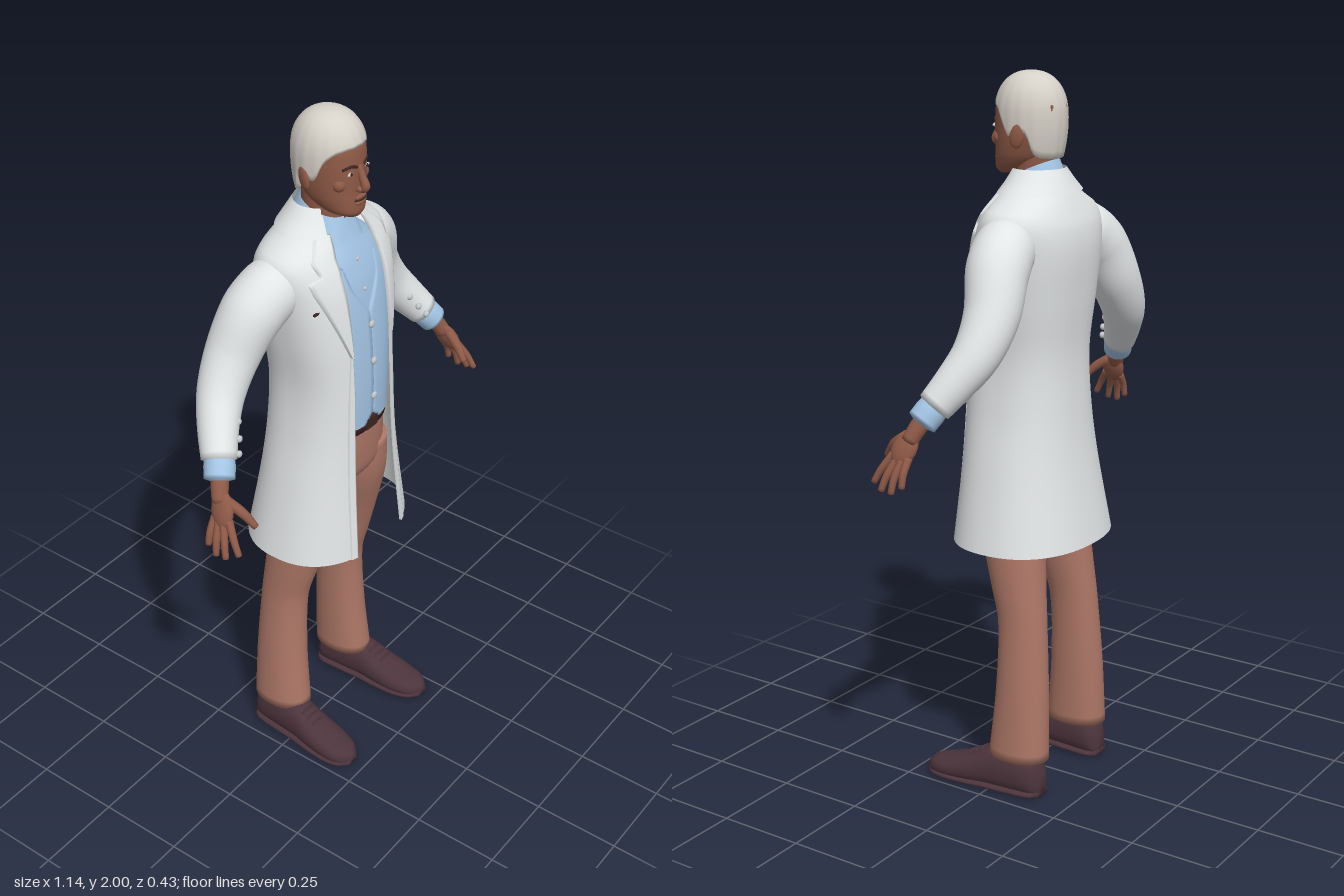
import * as THREE from 'three';

const mat = (name, color) => new THREE.MeshStandardMaterial({ name, color, side: THREE.DoubleSide });
const M = {
  coat: mat('coatWhite', 0xe2e5e6), skin: mat('skin', 0x8f5a47), shirt: mat('shirtBlue', 0xa3c4e4),
  trousers: mat('trouserBrown', 0xad7767), shoe: mat('shoeLeather', 0x4c343c), hair: mat('hairSilver', 0xd6d1c8),
  belt: mat('beltLeather', 0x4a2526), button: mat('buttonGrey', 0xc4c8ca), eye: mat('eyeWhite', 0xd8d2cc),
  dark: mat('darkDetail', 0x3c2622),
};
const V = (x, y, z) => new THREE.Vector3(x, y, z);
let root;

function add(name, geo, material) {
  const m = new THREE.Mesh(geo, material);
  m.name = name;
  root.add(m);
  return m;
}

// Surface through rows of points; closed joins each row into a ring
function grid(rows, closed) {
  const n = rows[0].length, idx = [];
  for (let i = 0; i < rows.length - 1; i++) {
    for (let j = 0; j < (closed ? n : n - 1); j++) {
      const k = (j + 1) % n, a = i * n + j, b = i * n + k, c = a + n, d = b + n;
      idx.push(a, b, c, b, d, c);
    }
  }
  const g = new THREE.BufferGeometry();
  g.setAttribute('position', new THREE.Float32BufferAttribute(rows.flat().flatMap(p => [p.x, p.y, p.z]), 3));
  g.setIndex(idx);
  g.computeVertexNormals();
  return g;
}

// Smoothly interpolate a section table by its first column
function at(secs, y) {
  let i = 0;
  while (i < secs.length - 2 && y > secs[i + 1][0]) i++;
  const a = secs[i], b = secs[i + 1], p = secs[i - 1] || a, q = secs[i + 2] || b;
  const h = b[0] - a[0], t = Math.min(1, Math.max(0, (y - a[0]) / h)), t2 = t * t, t3 = t2 * t;
  return a.map((v, k) => {
    if (k === 0) return y;
    const m0 = (b[k] - p[k]) / (b[0] - p[0]) * h, m1 = (q[k] - v) / (q[0] - a[0]) * h;
    return (2 * t3 - 3 * t2 + 1) * v + (t3 - 2 * t2 + t) * m0 + (3 * t2 - 2 * t3) * b[k] + (t3 - t2) * m1;
  });
}
const pw = (v, e) => Math.sign(v) * Math.pow(Math.abs(v), 2 / e);

// Section: [y, cx, cz, rx, rz, exponent, half width of front opening]
function ring([y, cx, cz, rx, rz, e, w = 0], n) {
  const a0 = w ? Math.asin(Math.min(1, Math.pow(w / rx, e / 2))) : 0, pts = [];
  for (let j = 0; j < n; j++) {
    const a = a0 + (2 * Math.PI - 2 * a0) * j / (w ? n - 1 : n);
    pts.push(V(cx + rx * pw(Math.sin(a), e), y, cz + rz * pw(Math.cos(a), e)));
  }
  return pts;
}
function loft(secs, n = 40, steps = 40, capped = false) {
  const rows = [], y0 = secs[0][0], y1 = secs[secs.length - 1][0], open = secs[0][6] > 0;
  for (let i = 0; i <= steps; i++) rows.push(ring(at(secs, y0 + (y1 - y0) * i / steps), n));
  if (capped) {
    const flat = s => Array.from({ length: n }, () => V(s[1], s[0], s[2]));
    rows.unshift(flat(secs[0]));
    rows.push(flat(secs[secs.length - 1]));
  }
  return grid(rows, !open);
}
function frontZ(secs, x, y) {
  const [, cx, cz, rx, rz, e] = at(secs, y);
  return cz + rz * Math.pow(Math.max(0, 1 - Math.pow(Math.abs((x - cx) / rx), e)), 1 / e);
}
// Thin layer over the front of a loft; rows are [y, inner x, outer x]
function patch(secs, rows, off, s) {
  const out = [], y0 = rows[0][0], y1 = rows[rows.length - 1][0];
  for (let i = 0; i <= 30; i++) {
    const y = y0 + (y1 - y0) * i / 30;
    let k = 0;
    while (k < rows.length - 2 && y > rows[k + 1][0]) k++;
    const t = (y - rows[k][0]) / (rows[k + 1][0] - rows[k][0]);
    const [a, b] = [1, 2].map(c => rows[k][c] + (rows[k + 1][c] - rows[k][c]) * t);
    const line = [V(s * a, y, frontZ(secs, a, y) - 0.004)];
    for (let j = 0; j <= 8; j++) { const x = a + (b - a) * j / 8; line.push(V(s * x, y, frontZ(secs, x, y) + off)); }
    line.push(V(s * b, y, frontZ(secs, b, y) - 0.004));
    out.push(line);
  }
  return grid(out, false);
}
// Rounded limb along a smooth path; stations are [x, y, z, radius]
function limb(st, s = 1, n = 16, steps = 24) {
  const curve = new THREE.CatmullRomCurve3(st.map(p => V(s * p[0], p[1], p[2])));
  const fr = curve.computeFrenetFrames(steps), rows = [];
  for (let i = 0; i <= steps; i++) {
    const t = i / steps, u = curve.getUtoTmapping(t) * (st.length - 1), k = Math.min(st.length - 2, Math.floor(u));
    const r = st[k][3] + (st[k + 1][3] - st[k][3]) * (u - k), c = curve.getPointAt(t);
    rows.push(Array.from({ length: n }, (_, j) => {
      const a = 2 * Math.PI * j / n;
      return c.clone().addScaledVector(fr.normals[i], r * Math.cos(a)).addScaledVector(fr.binormals[i], r * Math.sin(a));
    }));
  }
  const tip = (i, d) => Array.from({ length: n }, () => curve.getPointAt(i).addScaledVector(curve.getTangentAt(i), d));
  rows.unshift(tip(0, -st[0][3] * 0.3));
  rows.push(tip(1, st[st.length - 1][3] * 0.3));
  return grid(rows, true);
}
function ball(name, x, y, z, rx, ry, rz, material) {
  const m = add(name, new THREE.SphereGeometry(1, 16, 10), material);
  m.position.set(x, y, z);
  m.scale.set(rx, ry, rz);
  return m;
}

const COAT = [
  [0.72, 0, -0.017, 0.245, 0.196, 2.3, 0.105], [0.95, 0, -0.008, 0.203, 0.168, 2.3, 0.092],
  [1.1, 0, -0.004, 0.177, 0.156, 2.4, 0.086], [1.25, 0, -0.004, 0.167, 0.15, 2.5, 0.083],
  [1.4, 0, -0.016, 0.185, 0.15, 2.5, 0.086], [1.53, 0, -0.03, 0.203, 0.145, 2.4, 0.09],
  [1.6, 0, -0.038, 0.212, 0.13, 2.3, 0.088], [1.64, 0, -0.04, 0.2, 0.112, 2.2, 0.084],
  [1.67, 0, -0.038, 0.15, 0.1, 2.1, 0.078], [1.7, 0, -0.036, 0.108, 0.086, 2, 0.068],
  [1.73, 0, -0.035, 0.078, 0.072, 2, 0.058]];
const TORSO = [
  [1.1, 0, -0.002, 0.147, 0.132, 2.4], [1.25, 0, -0.004, 0.147, 0.136, 2.5], [1.4, 0, -0.014, 0.165, 0.137, 2.5],
  [1.53, 0, -0.028, 0.178, 0.132, 2.4], [1.6, 0, -0.036, 0.165, 0.118, 2.3], [1.65, 0, -0.036, 0.11, 0.094, 2.1],
  [1.7, 0, -0.03, 0.062, 0.066, 2]];
const HEAD = [
  [1.728, 0, 0.06, 0.026, 0.025, 2.1], [1.74, 0, 0.038, 0.05, 0.053, 2.2], [1.77, 0, 0.013, 0.068, 0.078, 2.2],
  [1.8, 0, 0.002, 0.076, 0.087, 2.2], [1.84, 0, -0.006, 0.081, 0.095, 2.2], [1.88, 0, -0.01, 0.083, 0.098, 2.2],
  [1.92, 0, -0.012, 0.08, 0.094, 2.2], [1.96, 0, -0.012, 0.06, 0.07, 2.1]];

function buildHead() {
  add('head', loft(HEAD, 40, 40, true), M.skin);
  add('neck', loft([[1.6, 0, -0.03, 0.062, 0.064, 2], [1.7, 0, -0.025, 0.056, 0.06, 2], [1.8, 0, -0.025, 0.058, 0.062, 2]], 28, 8), M.skin);
  add('nose', limb([[0, 1.868, 0.083, 0.008], [0, 1.838, 0.095, 0.01], [0, 1.813, 0.104, 0.0125], [0, 1.802, 0.09, 0.01]]), M.skin);
  add('mouthLine', limb([-1, -0.5, 0, 0.5, 1].map(k => [k * 0.022, 1.777, frontZ(HEAD, k * 0.022, 1.777) + 0.006 * (1 - k * k), 0.0022])), M.dark);
  [1.7835, 1.769].forEach((y, i) => ball(i ? 'lowerLip' : 'upperLip', 0, y, frontZ(HEAD, 0, y), 0.022, 0.007, 0.007, M.skin));
  for (const s of [1, -1]) {
    const ez = frontZ(HEAD, 0.033, 1.855);
    ball('nostril', s * 0.011, 1.808, 0.093, 0.008, 0.008, 0.009, M.skin);
    ball('eye', s * 0.033, 1.855, ez, 0.013, 0.0055, 0.003, M.eye);
    ball('iris', s * 0.033, 1.855, ez + 0.002, 0.0052, 0.0052, 0.002, M.dark);
    add('brow', limb([0.014, 0.03, 0.052].map((x, i) => [x, [1.869, 1.875, 1.869][i], frontZ(HEAD, x, 1.872), 0.004]), s, 8, 10), M.dark);
    ball('cheek', s * 0.046, 1.825, 0.058, 0.022, 0.02, 0.018, M.skin);
    const ear = ball('ear', s * 0.087, 1.835, -0.022, 0.009, 0.033, 0.02, M.skin);
    ear.rotation.set(-0.2, s * 0.3, 0);
  }
  // Swept hair cap with a hairline that dips around the ears to the nape
  const line = [[0, 1.922], [0.7, 1.915], [1.1, 1.89], [1.4, 1.835], [1.65, 1.848], [1.95, 1.84], [2.15, 1.79], [2.6, 1.776], [3.2, 1.774]];
  const rows = [], n = 72, steps = 20;
  for (let i = 0; i <= steps + 1; i++) {
    const v = Math.min(1, i / steps), tuck = i > steps ? 0.86 : 1;
    rows.push(Array.from({ length: n }, (_, j) => {
      const a = 2 * Math.PI * j / n, low = at(line, Math.min(a, 2 * Math.PI - a))[1];
      const y = 2 - (2 - low) * Math.pow(v, 1.7), t = Math.min(1, (y - 1.88) / 0.12);
      let r = t > 0 ? Math.pow(1 - Math.pow(t, 2.3), 1 / 2.3) : 1 - 0.12 * Math.pow((1.88 - y) / 0.1, 2);
      r *= tuck * (1 + 0.01 * Math.sin(a * 18) * v);
      return V(0.092 * r * Math.sin(a), y, -0.01 + 0.101 * r * Math.cos(a));
    }));
  }
  add('hair', grid(rows, true), M.hair);
}

function buildTorso() {
  add('shirt', loft(TORSO), M.shirt);
  // Shirt collar, higher at the nape with two points in front
  const collar = [0, 0.5, 1].map(v => Array.from({ length: 49 }, (_, j) => {
    const a = 0.08 + (2 * Math.PI - 0.16) * j / 48, f = (1 + Math.cos(a)) / 2;
    const point = Math.exp(-Math.pow((Math.min(a, 2 * Math.PI - a) - 0.6) / 0.28, 2));
    const top = 1.772 - 0.058 * f, y = top - v * (0.05 + 0.025 * point), r = 0.064 + v * (0.018 + 0.016 * point);
    return V(r * Math.sin(a), y, -0.024 + r * 1.02 * Math.cos(a));
  }));
  add('shirtCollar', grid(collar, false), M.shirt);
  for (const s of [1, -1]) {
    add('waistcoat', patch(TORSO, [[1.115, 0.03, 0.125], [1.145, 0, 0.125], [1.455, 0, 0.125], [1.54, 0.055, 0.125], [1.6, 0.066, 0.125]], 0.007, s), M.shirt);
  }
  for (const y of [1.2, 1.31, 1.42]) ball('waistcoatButton', 0, y, frontZ(TORSO, 0, y) + 0.009, 0.011, 0.011, 0.006, M.button);
  for (const y of [1.52, 1.6]) ball('shirtButton', 0, y, frontZ(TORSO, 0, y), 0.006, 0.006, 0.004, M.button);
  add('belt', loft([[1.09, 0, 0, 0.152, 0.131, 2.4], [1.135, 0, 0, 0.15, 0.132, 2.4]], 40, 2, true), M.belt);
  add('buckle', new THREE.BoxGeometry(0.045, 0.034, 0.009), M.dark).position.set(0, 1.112, 0.133);
}

function buildCoat() {
  add('coat', loft(COAT, 64, 60), M.coat);
  add('coatCollar', loft([[1.685, 0, -0.038, 0.142, 0.102, 2, 0.085], [1.715, 0, -0.038, 0.108, 0.086, 2, 0.074], [1.748, 0, -0.036, 0.078, 0.07, 2, 0.06]], 48, 8), M.coat);
  for (const s of [1, -1]) {
    add('lapel', patch(COAT, [[1.36, 0.086, 0.09], [1.56, 0.088, 0.165], [1.595, 0.086, 0.172], [1.6, 0.086, 0.14], [1.635, 0.083, 0.148], [1.69, 0.07, 0.1]], 0.009, s), M.coat);
    add('frontBand', patch(COAT, [[0.72, 0.105, 0.125], [0.95, 0.092, 0.112], [1.1, 0.086, 0.104], [1.25, 0.083, 0.098], [1.37, 0.085, 0.09]], 0.004, s), M.coat);
    add('sleeve', limb([[0.1, 1.575, -0.045, 0.06], [0.185, 1.555, -0.052, 0.084], [0.245, 1.51, -0.068, 0.084], [0.305, 1.405, -0.09, 0.074],
      [0.365, 1.315, -0.084, 0.064], [0.415, 1.25, -0.055, 0.055], [0.46, 1.187, -0.018, 0.047]], s, 28, 36), M.coat);
    [[0.385, 1.265, -0.012], [0.405, 1.23, 0.006], [0.425, 1.2, 0.02]].forEach(p => ball('sleeveButton', s * p[0], p[1], p[2], 0.01, 0.01, 0.008, M.button));
  }
  const pen = add('pocketPen', new THREE.BoxGeometry(0.02, 0.006, 0.006), M.dark);
  pen.position.set(-0.165, 1.51, frontZ(COAT, 0.165, 1.51) + 0.004);
}

function buildHand(s) {
  add('shirtCuff', limb([[0.45, 1.2, -0.025, 0.038], [0.468, 1.174, -0.01, 0.042], [0.486, 1.149, 0.003, 0.041]], s, 24, 8), M.shirt);
  add('wrist', limb([[0.472, 1.17, -0.005, 0.025], [0.494, 1.135, 0.01, 0.024], [0.512, 1.1, 0.025, 0.022]], s, 16, 8), M.skin);
  const palm = ball('palm', s * 0.517, 1.083, 0.036, 0.019, 0.052, 0.036, M.skin);
  palm.rotation.set(-0.3, 0, s * 0.38);
  const fingers = [
    [[0.526, 1.066, 0.064], [0.542, 1.025, 0.092], [0.549, 0.988, 0.113]],
    [[0.53, 1.056, 0.05], [0.552, 1.013, 0.068], [0.563, 0.973, 0.08]],
    [[0.531, 1.053, 0.034], [0.554, 1.01, 0.043], [0.563, 0.97, 0.048]],
    [[0.526, 1.06, 0.018], [0.548, 1.024, 0.018], [0.557, 0.988, 0.018]]];
  fingers.forEach(f => add('finger', limb(f.map((p, i) => [...p, 0.0115 - i * 0.0015]), s, 10, 10), M.skin));
  add('thumb', limb([[0.507, 1.108, 0.045, 0.015], [0.495, 1.082, 0.085, 0.0135], [0.483, 1.045, 0.118, 0.009]], s, 10, 10), M.skin);
}

function buildLeg(s) {
  add('trouserLeg', loft([
    [0.105, 0.153, -0.07, 0.064, 0.09, 2.2], [0.3, 0.144, -0.076, 0.061, 0.079, 2.1], [0.5, 0.133, -0.07, 0.058, 0.072, 2.1],
    [0.6, 0.125, -0.052, 0.065, 0.08, 2.1], [0.72, 0.113, -0.03, 0.074, 0.092, 2.1], [0.88, 0.088, -0.004, 0.085, 0.112, 2.1],
    [1.0, 0.075, 0, 0.082, 0.118, 2.2]].map(r => [r[0], s * r[1], ...r.slice(2)]), 32, 36, true), M.trousers);
  // Shoe lengthwise: [z, half width, height]
  const prof = [[-0.152, 0.022, 0.07], [-0.135, 0.043, 0.11], [-0.06, 0.05, 0.128], [0.01, 0.051, 0.12], [0.07, 0.056, 0.09],
    [0.14, 0.056, 0.064], [0.19, 0.042, 0.05], [0.214, 0.014, 0.034]];
  const shoe = (grow, high) => {
    const rows = [];
    for (let i = 0; i <= 30; i++) {
      const z = -0.152 + 0.366 * i / 30, [, w, h0] = at(prof, z), h = high || h0, cx = 0.168 + 0.07 * z;
      rows.push(Array.from({ length: 24 }, (_, j) => {
        const a = 2 * Math.PI * j / 24, c = Math.sin(a);
        const narrow = high ? 1 : 1 - 0.14 * Math.max(0, c);
        return V(s * (cx + (w + grow) * narrow * pw(Math.cos(a), 2.6)), h / 2 + h / 2 * pw(c, 2.6), z);
      }));
    }
    const mid = r => Array.from({ length: 24 }, () => r.reduce((p, q) => p.add(q), V(0, 0, 0)).divideScalar(24));
    return grid([mid(rows[0]), ...rows, mid(rows[30])], true);
  };
  add('shoe', shoe(0, 0), M.shoe);
  add('shoeSole', shoe(0.004, 0.02), M.shoe);
  for (const z of [0.035, 0.055, 0.075]) {
    const y = at(prof, z)[2];
    add('lace', limb([[0.147 + 0.07 * z, y - 0.003, z, 0.004], [0.168 + 0.07 * z, y + 0.001, z, 0.004], [0.189 + 0.07 * z, y - 0.003, z, 0.004]], s, 8, 6), M.shoe);
  }
}

export function createModel() {
  root = new THREE.Group();
  root.name = 'manInLongCoat';
  buildHead();
  buildTorso();
  buildCoat();
  add('trouserSeat', loft([[0.905, 0, 0, 0.09, 0.085, 2.2], [0.94, 0, 0, 0.145, 0.112, 2.3], [1.0, 0, 0, 0.156, 0.122, 2.3], [1.1, 0, 0, 0.148, 0.126, 2.4]], 40, 16, true), M.trousers);
  for (const s of [1, -1]) {
    buildHand(s);
    buildLeg(s);
  }
  return root;
}
